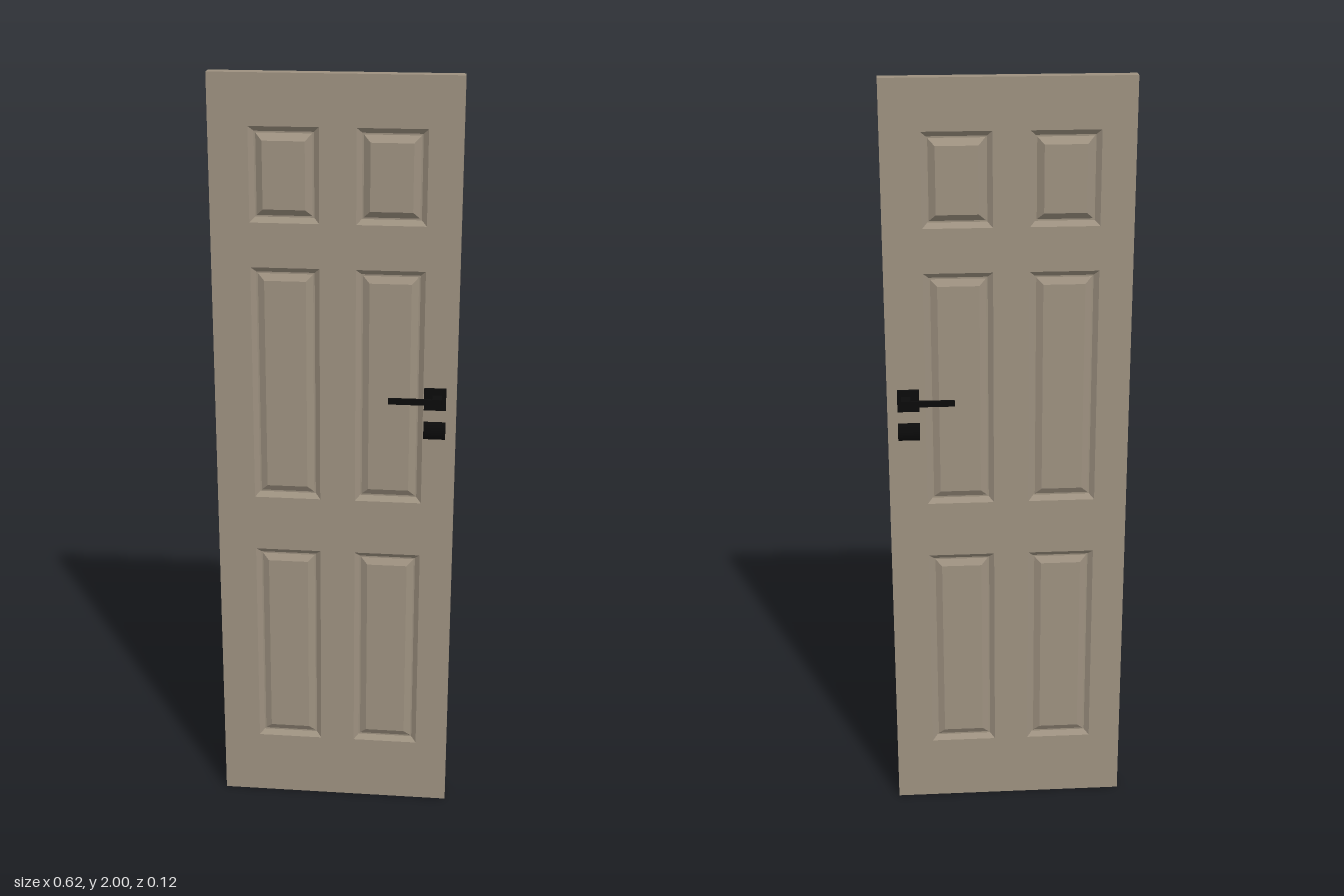
import * as THREE from 'three';

const HALF = 0.017;     // half thickness of the slab
const MID = -0.001;     // z of the slab's middle plane

// Panel openings on one face: centre x, bottom y, top y, height of the raised field
const PANELS = [];
for (const x of [-0.125, 0.139]) {
  PANELS.push([x, 0.178, 0.753, -0.001], [x, 0.903, 1.524, -0.001], [x, 1.637, 1.873, 0.003]);
}
const PANEL_HALF_WIDTH = 0.0865;

function rectangle(Type, x0, y0, x1, y1) {
  const s = new Type();
  s.moveTo(x0, y0);
  s.lineTo(x1, y0);
  s.lineTo(x1, y1);
  s.lineTo(x0, y1);
  s.closePath();
  return s;
}

// Moulded panel: nested rectangles stepping into a groove and up to a raised field
function panelGeometry(cx, y0, y1, raise) {
  const profile = [[0, 0], [0.013, -0.011], [0.017, -0.011], [0.034, raise]];
  const rings = profile.map(([inset, depth]) => {
    const w = PANEL_HALF_WIDTH - inset, z = HALF + depth;
    return [
      [cx - w, y0 + inset, z], [cx + w, y0 + inset, z],
      [cx + w, y1 - inset, z], [cx - w, y1 - inset, z],
    ];
  });
  const pos = [];
  const quad = (a, b, c, d) => pos.push(...a, ...b, ...c, ...a, ...c, ...d);
  for (let r = 0; r < rings.length - 1; r++) {
    for (let i = 0; i < 4; i++) {
      const j = (i + 1) % 4;
      quad(rings[r][i], rings[r][j], rings[r + 1][j], rings[r + 1][i]);
    }
  }
  quad(...rings[rings.length - 1]);
  const g = new THREE.BufferGeometry();
  g.setAttribute('position', new THREE.Float32BufferAttribute(pos, 3));
  g.computeVertexNormals();
  return g;
}

export function createModel() {
  const paint = new THREE.MeshStandardMaterial({ color: 0x9d9180 });
  paint.name = 'taupe paint';
  const metal = new THREE.MeshStandardMaterial({ color: 0x0b0b0b });
  metal.name = 'black metal';

  const door = new THREE.Group();
  door.name = 'door';

  const add = (parent, name, geometry, material) => {
    const mesh = new THREE.Mesh(geometry, material);
    mesh.name = name;
    parent.add(mesh);
    return mesh;
  };
  const box = (parent, name, x0, x1, y0, y1, z0, z1) =>
    add(parent, name, new THREE.BoxGeometry(x1 - x0, y1 - y0, z1 - z0), metal)
      .position.set((x0 + x1) / 2, (y0 + y1) / 2, (z0 + z1) / 2);

  // Frame of stiles and rails with six openings
  const outline = rectangle(THREE.Shape, -0.31, 0, 0.31, 2);
  for (const [x, y0, y1] of PANELS) {
    outline.holes.push(rectangle(THREE.Path, x - PANEL_HALF_WIDTH, y0, x + PANEL_HALF_WIDTH, y1));
  }
  const frame = new THREE.ExtrudeGeometry(outline, { depth: HALF, bevelEnabled: false });

  // The two halves of the slab, back turned half round
  for (const side of ['front', 'back']) {
    const half = new THREE.Group();
    half.name = side + 'Half';
    half.position.z = MID;
    if (side === 'back') half.rotation.y = Math.PI;
    add(half, 'frame', frame, paint);
    for (const p of PANELS) add(half, 'panel', panelGeometry(...p), paint);
    door.add(half);
  }

  // Lever handles on both faces, pointing to the middle of the door
  for (const s of [1, -1]) {
    const handle = new THREE.Group();
    handle.name = s > 0 ? 'frontHandle' : 'backHandle';
    handle.position.z = MID;
    const span = (a, b) => (s > 0 ? [a, b] : [-b, -a]);
    box(handle, 'rose', 0.228, 0.284, 1.165, 1.222, ...span(0.01, 0.0265));
    box(handle, 'neck', 0.25, 0.274, 1.188, 1.206, ...span(0.02, 0.061));
    box(handle, 'lever', 0.139, 0.274, 1.19, 1.205, ...span(0.053, 0.061));
    door.add(handle);
  }

  // Rounded lock body passing through the slab
  const lock = new THREE.CylinderGeometry(0.0315, 0.0315, 0.056, 32);
  lock.rotateZ(Math.PI / 2);
  lock.scale(1, 1, 0.84);
  add(door, 'lock', lock, metal).position.set(0.256, 1.107, MID);

  return door;
}
